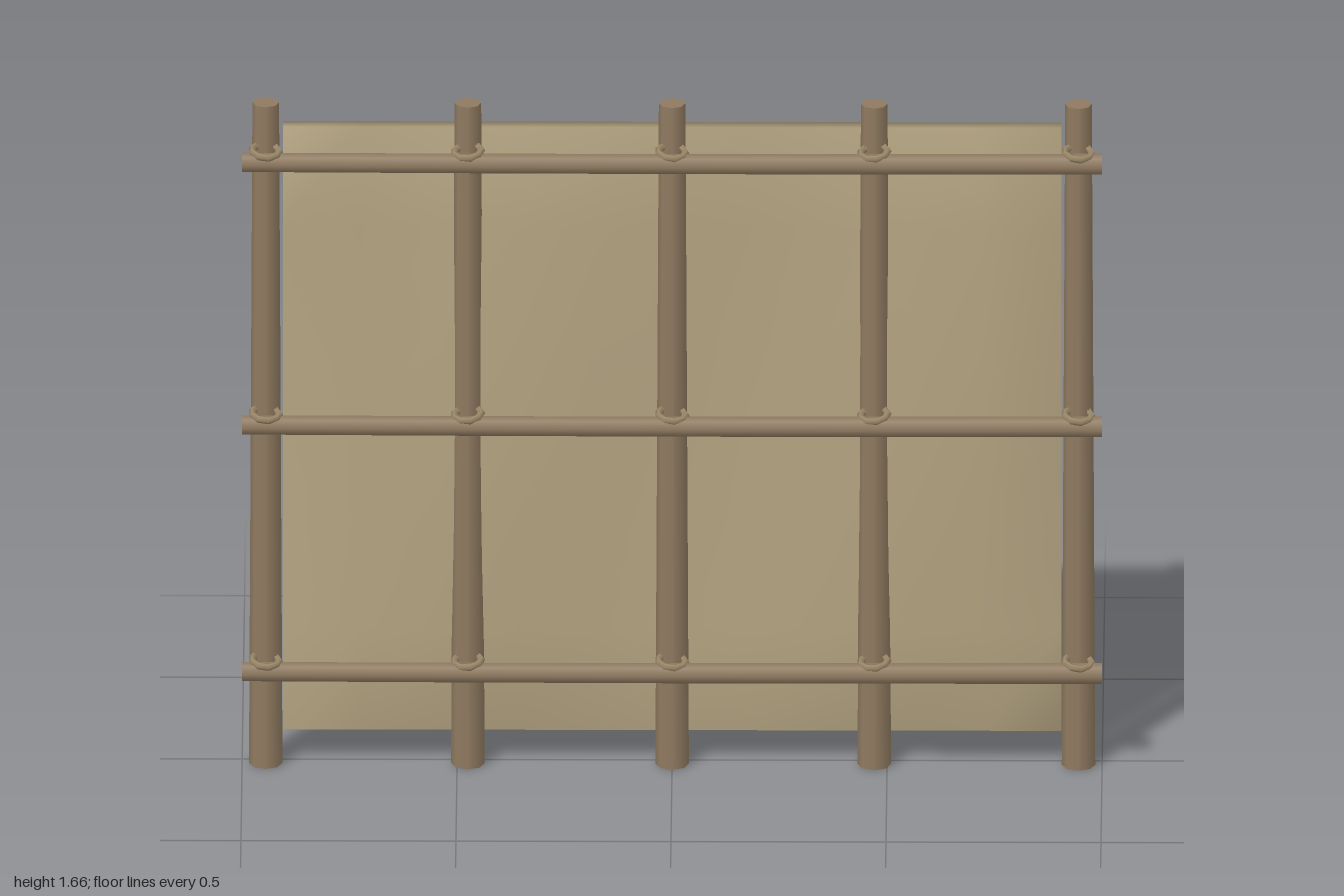
import * as THREE from 'three';
import { mergeVertices } from 'three/addons/utils/BufferGeometryUtils.js';

const wood = new THREE.MeshStandardMaterial({ color: 0x8f7a60 });
const cord = new THREE.MeshStandardMaterial({ color: 0x9a8768 });
const hide = new THREE.MeshStandardMaterial({ color: 0xb5a582 });
const leafMat = new THREE.MeshStandardMaterial({ color: 0xb5a582, side: THREE.DoubleSide });

const postX = [-0.945, -0.475, 0, 0.47, 0.945];
const railY = [1.53, 0.87, 0.25];

function add(group, name, geometry, material) {
  const mesh = new THREE.Mesh(geometry, material);
  mesh.name = name;
  group.add(mesh);
  return mesh;
}

// Thin slab with rounded shading, rippling between the posts
function panelGeometry() {
  let g = new THREE.BoxGeometry(1.81, 1.515, 0.034, 10, 6, 1);
  g.deleteAttribute('normal');
  g.deleteAttribute('uv');
  g = mergeVertices(g);
  const p = g.attributes.position;
  for (let i = 0; i < p.count; i++) {
    const x = p.getX(i), y = p.getY(i);
    const sag = Math.cos((y / 1.515) * Math.PI);
    const wave = 0.006 - 0.022 * Math.cos((x - 0.1) * Math.PI * 2);
    p.setXYZ(i, x, y + 0.8375, p.getZ(i) - 0.005 + sag * wave);
  }
  g.computeVertexNormals();
  return g;
}

// Drooping, cupped leaf from cross-sections: top (x0, y0) to tip (x1, y1)
function leafGeometry(x0, y0, x1, y1, width, depth) {
  const rows = [[0, 0.3], [0.15, 0.75], [0.4, 1], [0.7, 0.75], [1, 0.22]];
  const pos = [], index = [];
  const len = Math.hypot(x1 - x0, y1 - y0);
  const ax = -(y1 - y0) / len, ay = (x1 - x0) / len;
  rows.forEach(([t, w], r) => {
    const z = -0.03 - depth * Math.pow(t, 0.7);
    for (const s of [-1, 0, 1]) {
      const off = s * w * width / 2;
      pos.push(x0 + (x1 - x0) * t + ax * off, y0 + (y1 - y0) * t + ay * off,
        z + (s ? 0.012 * w : 0));
    }
    if (r) for (let k = 0; k < 2; k++) {
      const a = (r - 1) * 3 + k, b = a + 3;
      index.push(a, a + 1, b, a + 1, b + 1, b);
    }
  });
  const g = new THREE.BufferGeometry();
  g.setAttribute('position', new THREE.Float32BufferAttribute(pos, 3));
  g.setIndex(index);
  g.computeVertexNormals();
  return g;
}

export function createModel() {
  const model = new THREE.Group();
  model.name = 'screenPanel';

  // Upright posts, slightly tapered
  const posts = new THREE.Group();
  posts.name = 'posts';
  postX.forEach((x) => {
    const post = add(posts, 'post', new THREE.CylinderGeometry(0.031, 0.039, 1.66, 8), wood);
    post.position.set(x, 0.83, 0.022);
  });

  // Cross rails on the front, thickest and bowed a little in the middle
  const rails = new THREE.Group();
  rails.name = 'rails';
  railY.forEach((y) => {
    const g = new THREE.CylinderGeometry(0.023, 0.025, 2, 7, 4);
    g.rotateZ(Math.PI / 2);
    const p = g.attributes.position;
    for (let i = 0; i < p.count; i++) {
      p.setZ(i, p.getZ(i) + 0.005 * Math.cos(p.getX(i) * Math.PI / 2));
    }
    add(rails, 'rail', g, wood).position.set(0, y, 0.074);
  });

  // Cord bindings where rails cross posts
  const bindings = new THREE.Group();
  bindings.name = 'bindings';
  railY.forEach((y) => postX.forEach((x, i) => {
    const loop = add(bindings, 'binding', new THREE.TorusGeometry(0.032, 0.009, 5, 9), cord);
    loop.position.set(x, y + 0.024, 0.063);
    loop.rotation.set(Math.PI / 2 + 0.12, (i % 2 ? 1 : -1) * 0.08, 0);
    const under = add(bindings, 'binding', new THREE.TorusGeometry(0.032, 0.008, 5, 9), cord);
    under.position.set(x, y + 0.002, 0.034);
    under.rotation.x = Math.PI / 2;
  }));

  add(model, 'panel', panelGeometry(), hide);

  // Leaves hanging on the back
  const leaves = new THREE.Group();
  leaves.name = 'leaves';
  [
    [0.52, 1.08, 0.56, 0.74, 0.15, 0.08],
    [-0.52, 0.83, -0.40, 0.58, 0.12, 0.055],
    [-0.14, 0.37, -0.05, 0.045, 0.11, 0.065],
    [0.02, 0.40, 0.055, 0.10, 0.14, 0.07],
    [-0.80, 1.05, -0.85, 0.76, 0.12, 0.07],
  ].forEach((l) => add(leaves, 'leaf', leafGeometry(...l), leafMat));

  model.add(posts, rails, bindings, leaves);
  return model;
}
